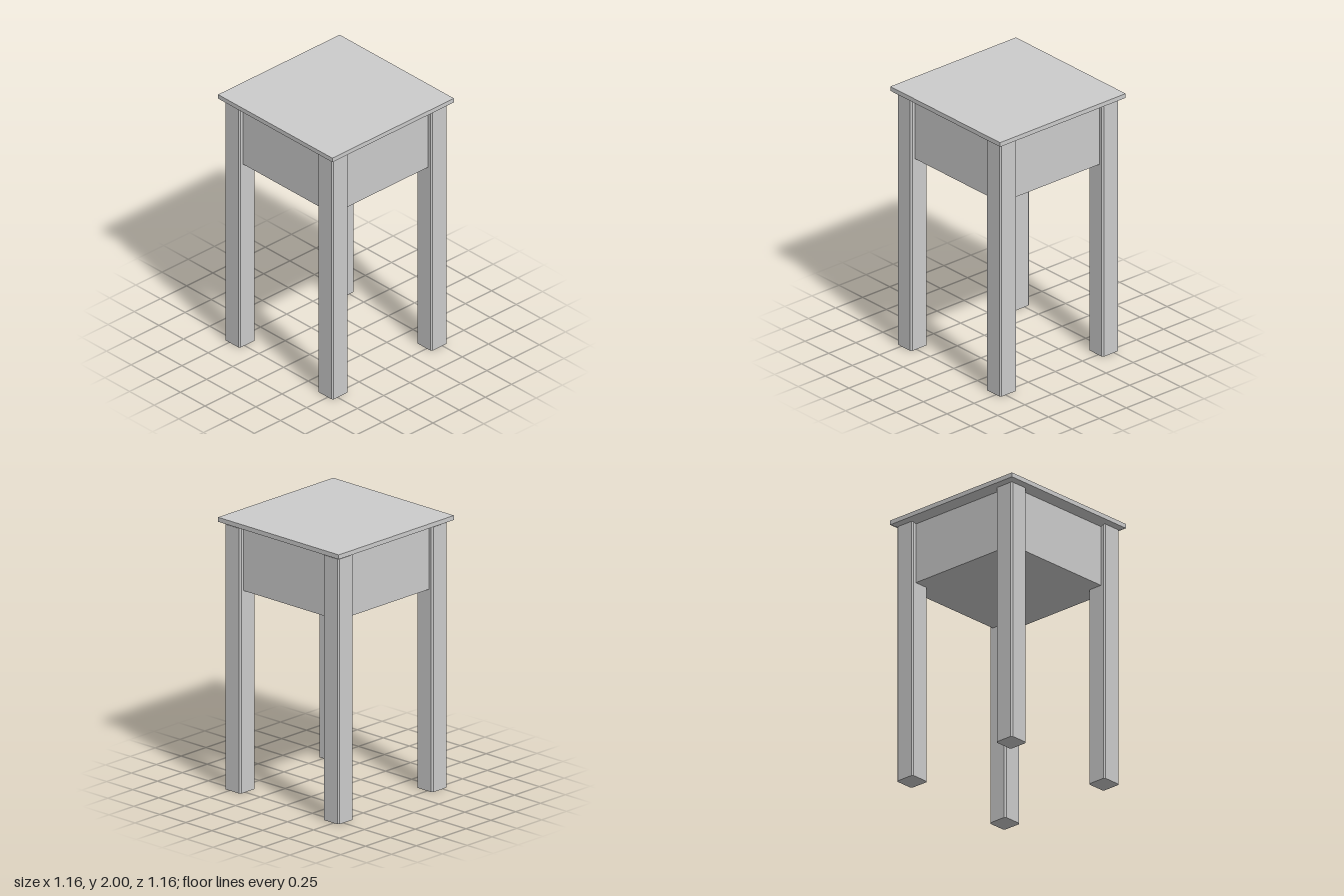
import * as THREE from 'three';

const material = new THREE.MeshStandardMaterial({ color: 0xcccccc, flatShading: true });

function addPart(group, name, geometry, x = 0, y = 0, z = 0) {
  const mesh = new THREE.Mesh(geometry, material);
  mesh.name = name;
  mesh.position.set(x, y, z);
  group.add(mesh);
}

// Square post with its four long edges cut off
function postGeometry(width, height, cut) {
  const h = width / 2, c = h - cut;
  const corners = [[c, -h], [h, -c], [h, c], [c, h], [-c, h], [-h, c], [-h, -c], [-c, -h]];
  const shape = new THREE.Shape(corners.map(([x, y]) => new THREE.Vector2(x, y)));
  const geometry = new THREE.ExtrudeGeometry(shape, { depth: height, bevelEnabled: false });
  return geometry.rotateX(-Math.PI / 2);
}

export function createModel() {
  const table = new THREE.Group();
  table.name = 'sideTable';

  // Square top with a sloping underside: a four-sided lathe of half-width and height
  const profile = [[0, 1.937], [0.515, 1.937], [0.58, 1.967], [0.58, 2], [0, 2]]
    .map(([half, y]) => new THREE.Vector2(half * Math.SQRT2, y));
  addPart(table, 'tableTop', new THREE.LatheGeometry(profile, 4, Math.PI / 4));

  // Closed box under the top, set back from the leg faces
  const bottom = 1.487, top = 1.937;
  addPart(table, 'apronBox', new THREE.BoxGeometry(1.03, top - bottom, 1.03), 0, (top + bottom) / 2, 0);

  // Four corner legs, reaching just into the top
  const legGeometry = postGeometry(0.152, 1.95, 0.011);
  for (const [end, z] of [['front', 0.472], ['back', -0.472]]) {
    for (const [side, x] of [['Left', 0.472], ['Right', -0.472]]) {
      addPart(table, `${end}${side}Leg`, legGeometry, x, 0, z);
    }
  }
  return table;
}
